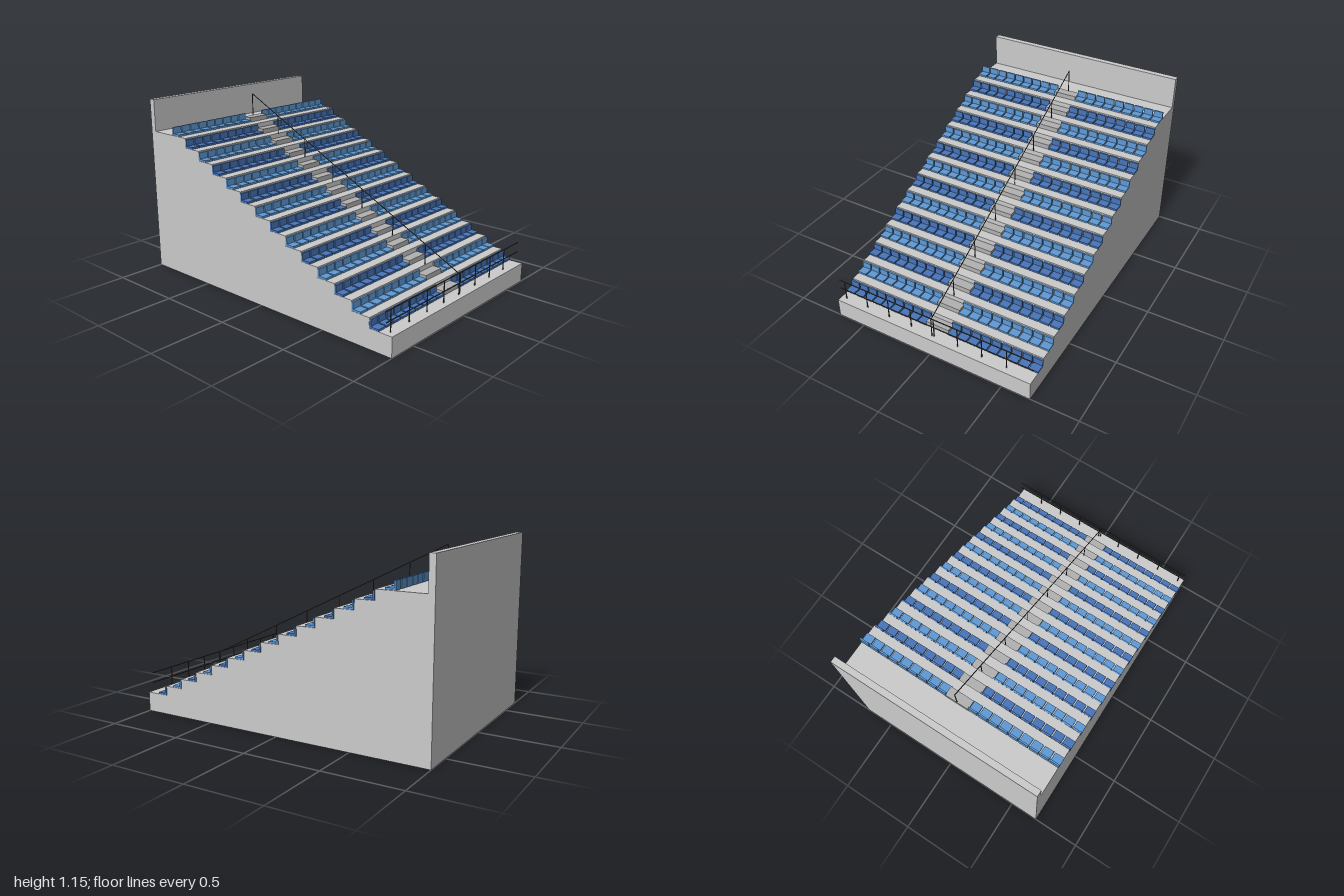
import * as THREE from 'three';
import { mergeGeometries } from 'three/addons/utils/BufferGeometryUtils.js';

const HALF_W = 0.69;
const ROWS = 14, DEPTH = 0.125, RISE = 0.0627, BASE = 0.125;
const SEATS = 9, SEAT_PITCH = 0.0692, SEAT_W = 0.061;

const treadY = i => BASE + RISE * i;        // height of a row's floor
const riserZ = i => 0.845 - DEPTH * i;      // back edge of a row's floor

const material = color => new THREE.MeshStandardMaterial({ color });

// box given by its limits on each axis
function box(x0, x1, y0, y1, z0, z1) {
  return new THREE.BoxGeometry(x1 - x0, y1 - y0, z1 - z0)
    .translate((x0 + x1) / 2, (y0 + y1) / 2, (z0 + z1) / 2);
}

// round bar between two points
function bar(a, b, radius) {
  const from = new THREE.Vector3(...a), to = new THREE.Vector3(...b);
  const dir = to.clone().sub(from);
  const q = new THREE.Quaternion().setFromUnitVectors(new THREE.Vector3(0, 1, 0), dir.clone().normalize());
  const mid = from.add(to).multiplyScalar(0.5);
  return new THREE.CylinderGeometry(radius, radius, dir.length(), 8).applyQuaternion(q)
    .translate(mid.x, mid.y, mid.z);
}

export function createModel() {
  const model = new THREE.Group();
  model.name = 'grandstand';
  const add = (name, geometry, mat) => {
    const mesh = new THREE.Mesh(geometry, mat);
    mesh.name = name;
    model.add(mesh);
  };

  const concrete = material(0xcccccc);
  const stepGrey = material(0xb2b2b2);
  const metal = material(0x444444);
  const blues = [material(0x4775b9), material(0x5f9ad6)];

  // Stepped body: side profile swept across the width
  const profile = new THREE.Shape();
  profile.moveTo(-1, 0);
  profile.lineTo(1, 0);
  profile.lineTo(1, BASE);
  for (let i = 0; i < ROWS - 1; i++) {
    profile.lineTo(riserZ(i), treadY(i));
    profile.lineTo(riserZ(i), treadY(i + 1));
  }
  profile.lineTo(-0.96, treadY(ROWS - 1));
  profile.lineTo(-1, treadY(ROWS - 1));
  const body = new THREE.ExtrudeGeometry(profile, { depth: 2 * HALF_W, bevelEnabled: false });
  body.rotateY(-Math.PI / 2).translate(HALF_W, 0, 0);
  add('terraces', body, concrete);

  // Wall behind the top platform
  add('backWall', box(-HALF_W, HALF_W, treadY(ROWS - 1), 1.15, -1, -0.96), concrete);

  for (let i = 0; i < ROWS; i++) {
    const y = treadY(i), z = riserZ(i);

    // Half-height step in the aisle
    add('aisleStep', box(-0.08, 0.08, y, y + RISE / 2, z, z + 0.061), stepGrey);

    // Row of seats: cushion and backrest on both sides of the aisle
    const parts = [];
    for (const side of [-1, 1]) {
      for (let k = 0; k < SEATS; k++) {
        const x = side * (0.108 + SEAT_PITCH * k), w = SEAT_W / 2;
        parts.push(box(x - w, x + w, y + 0.002, y + 0.014, z + 0.004, z + 0.066));
        parts.push(box(x - w, x + w, y + 0.002, y + 0.055, z + 0.002, z + 0.013));
      }
    }
    add('seatRow', mergeGeometries(parts), blues[i % 2]);
  }

  // Front guard rail with eight posts
  const railZ = 0.96, front = [];
  for (const y of [0.195, 0.26]) front.push(bar([-HALF_W, y, railZ], [HALF_W, y, railZ], 0.0035));
  for (let k = 0; k < 8; k++) {
    const x = -0.652 + 0.1665 * k;
    front.push(bar([x, BASE, railZ], [x, 0.26, railZ], 0.0035));
  }
  add('frontRail', mergeGeometries(front), metal);

  // Sloping handrail along the aisle, a post at every second row
  const handY = z => 0.255 + (0.963 - z) * 0.4985;
  const hand = [bar([0, handY(0.963), 0.963], [0, handY(-0.776), -0.776], 0.003)];
  for (let k = 0; k < 8; k++) {
    const z = 0.963 - 0.2484 * k;
    hand.push(bar([0, treadY(Math.min(2 * k, ROWS - 1)), z], [0, handY(z), z], 0.003));
  }
  add('aisleHandrail', mergeGeometries(hand), metal);

  return model;
}
